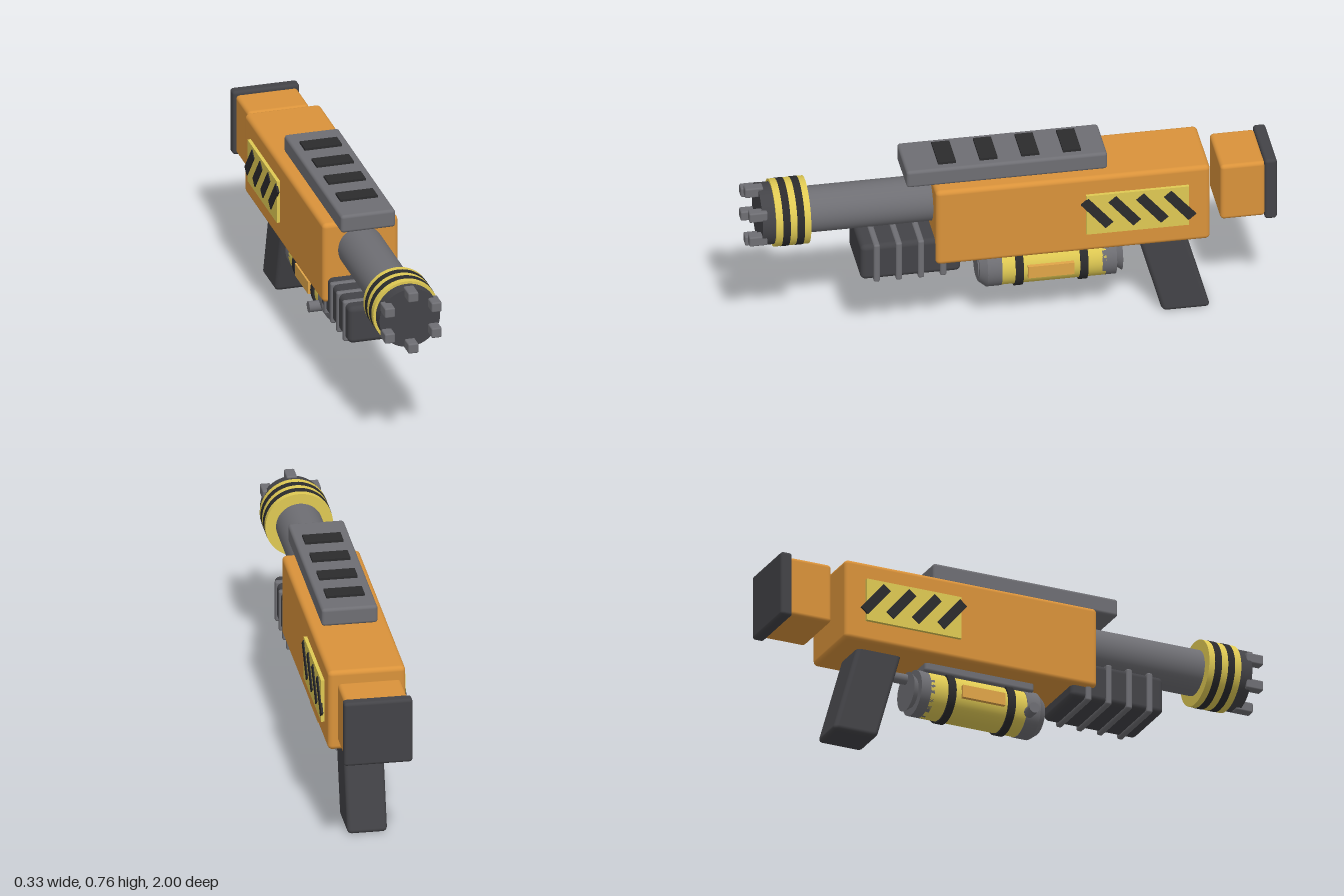
import * as THREE from 'three';
import { RoundedBoxGeometry } from 'three/addons/geometries/RoundedBoxGeometry.js';

const mat = (color) => new THREE.MeshStandardMaterial({ color });
const orange = mat(0xd9923a), yellow = mat(0xdfc953), dark = mat(0x434347);
const grey = mat(0x6e6e73), black = mat(0x2b2b2d), amber = mat(0xe0a548);

export function createModel() {
  const model = new THREE.Group();
  const add = (name, geometry, material, x = 0, y = 0, z = 0) => {
    const mesh = new THREE.Mesh(geometry, material);
    mesh.name = name;
    mesh.position.set(x, y, z);
    model.add(mesh);
    return mesh;
  };
  // Box given by half width in x and its ranges in y and z
  const block = (name, material, halfX, y0, y1, z0, z1, r = 0.015) =>
    add(name, new RoundedBoxGeometry(halfX * 2, y1 - y0, z1 - z0, 3, r), material,
      0, (y0 + y1) / 2, (z0 + z1) / 2);
  // Cylinder along z from z0 (radius r0) to z1 (radius r1)
  const tube = (name, material, y, z0, z1, r0, r1 = r0) =>
    add(name, new THREE.CylinderGeometry(r1, r0, z1 - z0, 48).rotateX(Math.PI / 2), material,
      0, y, (z0 + z1) / 2);

  // Receiver and stock
  block('receiver', orange, 0.147, 0.348, 0.672, -0.743, 0.298, 0.018);
  block('stock', orange, 0.12, 0.41, 0.648, -0.957, -0.787);
  block('buttPad', dark, 0.13, 0.4, 0.66, -1, -0.953, 0.012);

  // Top rail with dark slots
  block('topRail', grey, 0.106, 0.677, 0.748, -0.36, 0.402, 0.012);
  for (let i = 0; i < 4; i++) {
    add('railSlot', new THREE.BoxGeometry(0.145, 0.02, 0.068), black, 0, 0.747, 0.243 - i * 0.158);
  }

  // Barrel and muzzle
  const axisY = 0.561;
  tube('barrel', grey, axisY, 0.25, 0.79, 0.088);
  tube('muzzleCollar', yellow, axisY, 0.768, 0.9, 0.128);
  for (const z of [0.806, 0.86]) tube('muzzleBand', black, axisY, z - 0.014, z + 0.014, 0.129);
  tube('muzzleFace', dark, axisY, 0.895, 0.95, 0.118);
  for (let i = 0; i < 6; i++) {
    const a = Math.PI / 2 + i * Math.PI / 3;
    add('muzzleTooth', new RoundedBoxGeometry(0.04, 0.04, 0.07, 2, 0.006), grey,
      Math.cos(a) * 0.105, axisY + Math.sin(a) * 0.105, 0.965);
  }

  // Ribbed fore grip
  block('foreGrip', dark, 0.128, 0.302, 0.452, 0.2, 0.58, 0.02);
  for (let i = 0; i < 4; i++) {
    const z = 0.52 - i * 0.084;
    block('foreGripRib', grey, 0.135, 0.293, 0.457, z - 0.012, z + 0.012, 0.008);
  }

  // Canister under the receiver
  const canY = 0.247;
  block('canisterMount', grey, 0.07, 0.315, 0.36, -0.377, 0.073, 0.012);
  tube('canister', yellow, canY, -0.36, 0.04, 0.088);
  tube('canisterRearCap', grey, canY, -0.4, -0.345, 0.088);
  tube('canisterNeck', grey, canY, -0.4, -0.39, 0.05);
  tube('canisterNozzle', grey, canY, -0.425, -0.395, 0.076, 0.055);
  tube('canisterFrontCap', grey, canY, 0.035, 0.09, 0.09);
  tube('canisterFrontBevel', grey, canY, 0.09, 0.118, 0.09, 0.068);
  tube('canisterFrontPlug', grey, canY, 0.11, 0.122, 0.055);
  for (const z of [-0.03, -0.275]) tube('canisterBand', black, canY, z - 0.015, z + 0.015, 0.096);
  add('canisterLabel', new THREE.BoxGeometry(0.2, 0.05, 0.175), amber, 0, 0.247, -0.148);
  add('valve', new THREE.CylinderGeometry(0.021, 0.021, 0.07, 24).rotateZ(Math.PI / 2), grey,
    -0.095, 0.221, 0.045);
  tube('gripPipe', grey, 0.297, -0.52, -0.39, 0.02);

  // Raked pistol grip: a rounded box sheared towards the rear
  const grip = new RoundedBoxGeometry(0.152, 0.39, 0.182, 4, 0.018);
  const shear = new THREE.Matrix4().set(1, 0, 0, 0, 0, 1, 0, 0, 0, 0.28, 1, 0, 0, 0, 0, 1);
  grip.applyMatrix4(shear);
  add('pistolGrip', grip, dark, 0, 0.195, -0.612);

  // Warning panels with slanted stripes on both sides
  for (const side of [1, -1]) {
    add('warningPanel', new THREE.BoxGeometry(0.016, 0.17, 0.39), yellow, side * 0.152, 0.515, -0.465);
    for (let i = 0; i < 4; i++) {
      const stripe = add('warningStripe', new THREE.BoxGeometry(0.008, 0.145, 0.038), black,
        side * 0.16, 0.521, -0.31 - i * 0.105);
      stripe.rotation.x = 0.7;
    }
  }
  return model;
}
